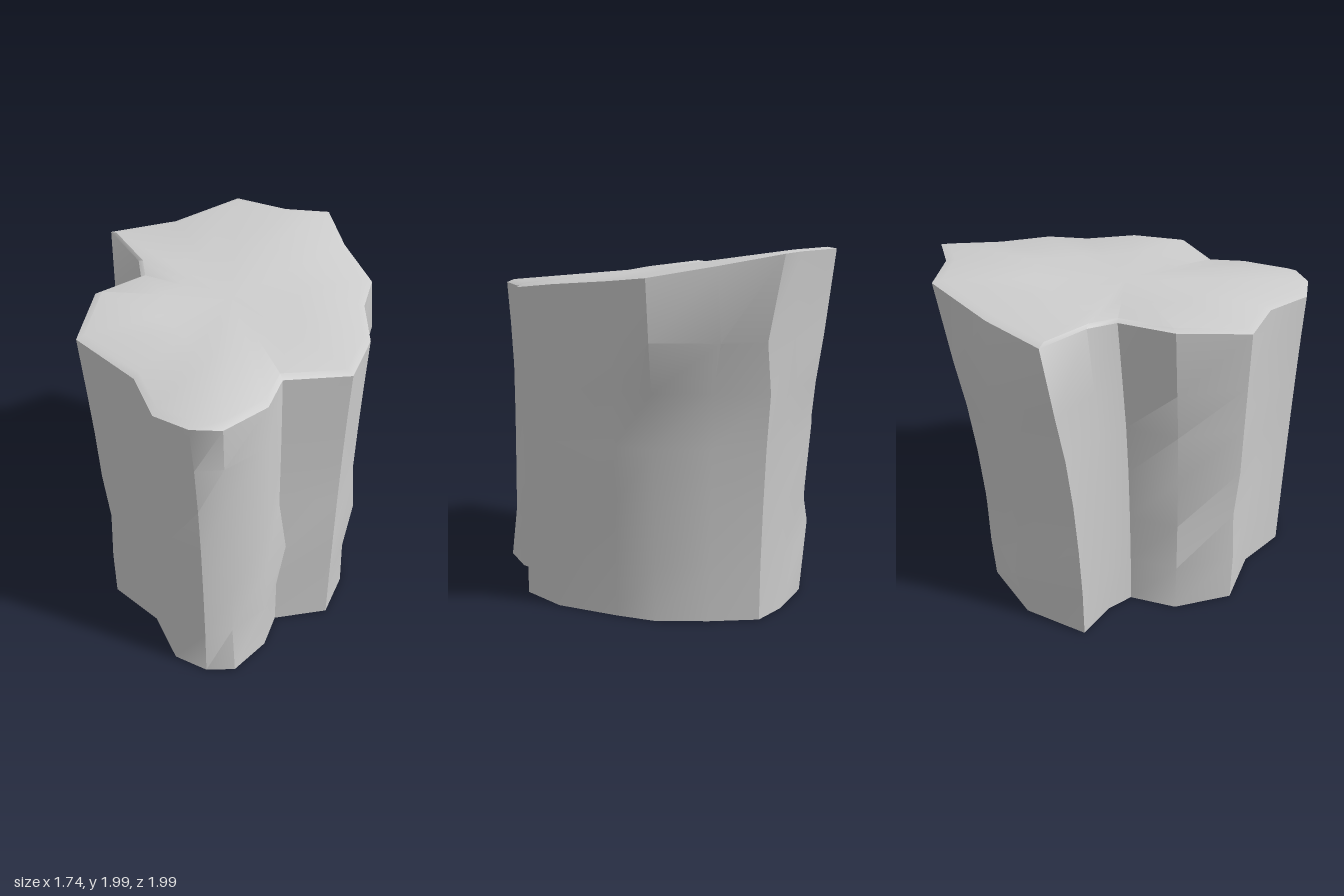
import * as THREE from 'three';
import { toCreasedNormals } from 'three/addons/utils/BufferGeometryUtils.js';

// Each corner of the column: [foot x, foot z, rim x, rim z, rim y]
const corners = [
  [0.2, -0.86, 0.32, -1.0, 1.985], [0.5, -0.74, 0.57, -0.8, 1.97],
  [0.67, -0.62, 0.82, -0.71, 1.96], [0.72, -0.35, 0.8, -0.38, 1.9],
  [0.745, -0.06, 0.83, -0.02, 1.84], [0.69, 0.16, 0.7, 0.19, 1.82],
  [0.58, 0.5, 0.61, 0.5, 1.8], [0.4, 0.72, 0.42, 0.74, 1.775],
  [0.08, 0.69, 0.07, 0.68, 1.775], [-0.04, 0.86, -0.06, 0.86, 1.765],
  [-0.26, 0.99, -0.32, 0.99, 1.775], [-0.42, 0.95, -0.47, 0.94, 1.775],
  [-0.57, 0.81, -0.61, 0.79, 1.775], [-0.62, 0.5, -0.64, 0.49, 1.79],
  [-0.81, 0.2, -0.87, 0.15, 1.85], [-0.69, -0.13, -0.71, -0.21, 1.895],
  [-0.47, -0.3, -0.43, -0.36, 1.88], [-0.47, -0.46, -0.41, -0.53, 1.89],
  [-0.55, -0.69, -0.51, -0.86, 1.93], [-0.2, -0.87, -0.1, -0.92, 1.92],
];

// Heights of the wall rings and how far each has moved from foot to rim outline
const levels = [[0, 0], [0.31, 0.02], [0.63, 0.1], [0.95, 0.22], [1.25, 0.4], [1.52, 0.65]];

// Weathered bumps and hollows: 'corner,level' -> [x, z]
const bumps = {
  '4,5': [0.87, -0.04], '3,5': [0.85, -0.4], '2,5': [0.77, -0.635],
  '8,2': [0.12, 0.71], '6,1': [0.57, 0.5], '6,2': [0.62, 0.49], '14,2': [-0.795, 0.19],
  '10,1': [-0.265, 0.955], '10,2': [-0.265, 0.95], '10,3': [-0.28, 0.95],
  '10,4': [-0.3, 0.955], '10,5': [-0.31, 0.97],
  '19,1': [-0.18, -0.92], '19,2': [-0.17, -0.87], '19,3': [-0.16, -0.93],
  '19,4': [-0.15, -0.92], '19,5': [-0.14, -0.965],
};

// Joins equal rings of points into a closed strip, facing outward
function skin(rings) {
  const n = rings[0].length;
  const index = [];
  for (let r = 0; r < rings.length - 1; r++) {
    for (let i = 0; i < n; i++) {
      const a = r * n + i, b = r * n + (i + 1) % n;
      index.push(a, a + n, b, b, a + n, b + n);
    }
  }
  const geometry = new THREE.BufferGeometry();
  geometry.setAttribute('position', new THREE.Float32BufferAttribute(rings.flat(2), 3));
  geometry.setIndex(index);
  return toCreasedNormals(geometry, THREE.MathUtils.degToRad(34));
}

export function createModel() {
  const group = new THREE.Group();
  group.name = 'rockColumn';
  const material = new THREE.MeshStandardMaterial({ color: 0xcccccc, side: THREE.DoubleSide });
  const lerp = THREE.MathUtils.lerp;

  // Wall rings, open at the foot
  const rings = levels.map(([y, t], level) => corners.map(([x0, z0, x1, z1], i) => {
    const [x, z] = bumps[`${i},${level}`] ?? [lerp(x0, x1, t), lerp(z0, z1, t)];
    return [x, y, z];
  }));
  rings.push(corners.map(([, , x, z, y]) => [x, y, z]));

  // Sloping top: a soft bevel inside the rim, then rings closing on the middle
  for (const s of [0.95, 0.5, 0.001]) {
    rings.push(corners.map(([, , x, z, y]) => [x * s, lerp(1.875, y + 0.015, s), z * s]));
  }

  const column = new THREE.Mesh(skin(rings), material);
  column.name = 'column';
  group.add(column);
  return group;
}
